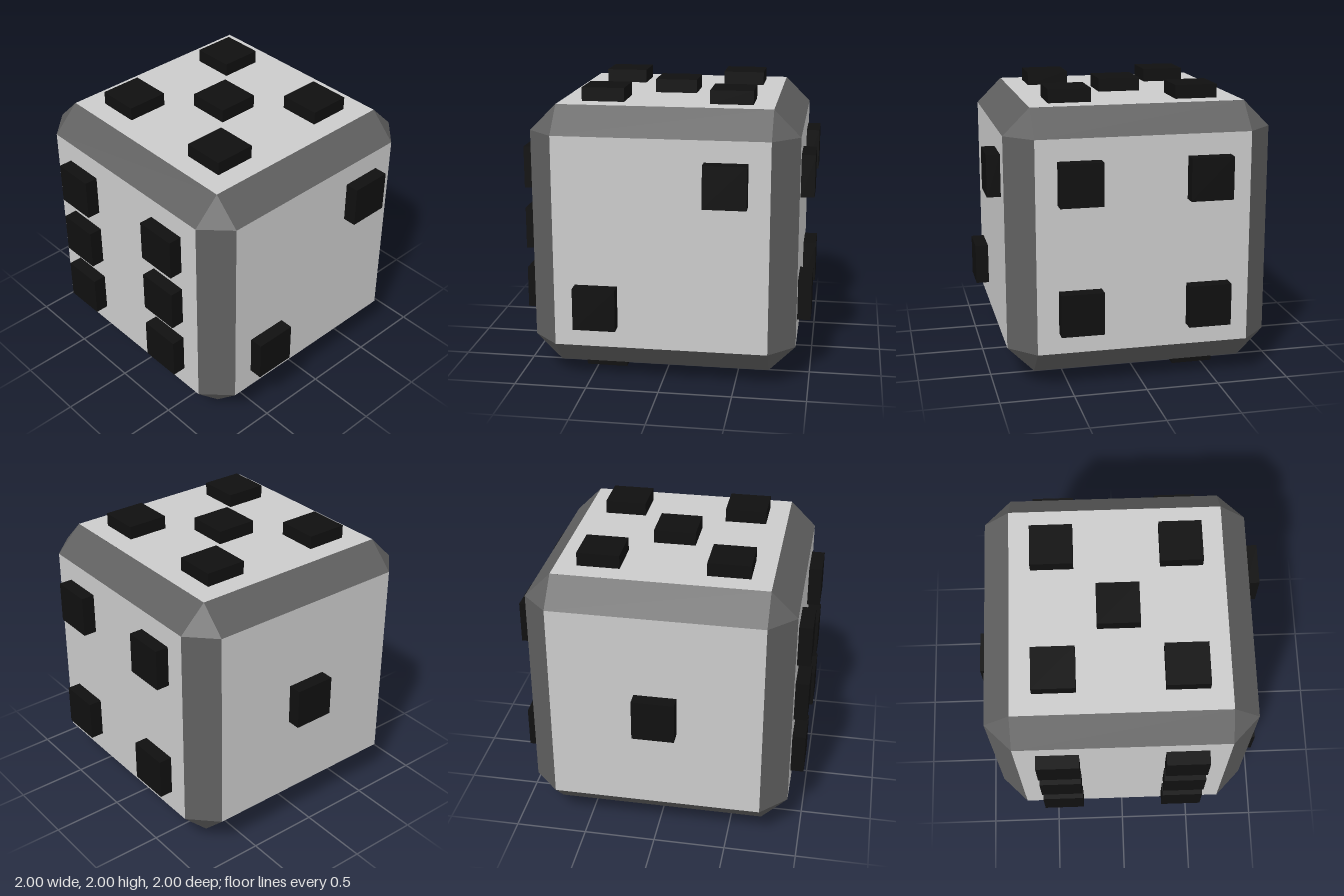
import * as THREE from 'three';

const OUTER = 0.907;  // centre to flat face
const INNER = 0.727;  // half width of a flat face
const PIP = 0.29;     // pip width
const STEP = 0.436;   // pip spacing
const DEPTH = 1 - OUTER;

const material = (color) => new THREE.MeshStandardMaterial({ color, flatShading: true });

export function createModel() {
  const model = new THREE.Group();
  model.name = 'die';
  const faceMat = material(0xcccccc);
  const bevelMat = material(0x606060);
  const pipMat = material(0x101010);

  const body = new THREE.Group();
  body.name = 'body';
  const pips = new THREE.Group();
  pips.name = 'pips';

  const add = (parent, name, geometry, mat) => {
    const mesh = new THREE.Mesh(geometry, mat);
    mesh.name = name;
    parent.add(mesh);
    return mesh;
  };

  // Flat panel centred at (x, y, z) and facing away from the centre
  const addPanel = (name, width, height, mat, x, y, z) => {
    const mesh = new THREE.Mesh(new THREE.PlaneGeometry(width, height), mat);
    mesh.name = name;
    mesh.position.set(x, y, z);
    mesh.lookAt(2 * x, 2 * y, 2 * z);
    body.add(mesh);
  };

  // Six faces: axis, side, and pip places along the next two axes (x>y>z>x)
  const faces = [
    ['front', 2, 1, [[-1, -1], [-1, 0], [-1, 1], [1, -1], [1, 0], [1, 1]]],
    ['back', 2, -1, [[-1, -1], [-1, 1], [1, -1], [1, 1]]],
    ['left', 0, 1, [[1, -1], [-1, 1]]],
    ['right', 0, -1, [[0, 0]]],
    ['top', 1, 1, [[-1, -1], [-1, 1], [0, 0], [1, -1], [1, 1]]],
    ['bottom', 1, -1, [[-1, -1], [0, 0], [1, 1]]],
  ];
  for (const [name, axis, side, places] of faces) {
    const centre = [0, 0, 0];
    centre[axis] = side * OUTER;
    addPanel(name + 'Face', 2 * INNER, 2 * INNER, faceMat, ...centre);

    const size = [PIP, PIP, PIP];
    size[axis] = DEPTH;
    for (const [u, v] of places) {
      const p = [0, 0, 0];
      p[axis] = side * (OUTER + DEPTH / 2);
      p[(axis + 1) % 3] = u * STEP;
      p[(axis + 2) % 3] = v * STEP;
      add(pips, name + 'Pip', new THREE.BoxGeometry(...size), pipMat).position.set(...p);
    }
  }

  // Twelve bevelled edges
  const mid = (OUTER + INNER) / 2;
  const long = 2 * INNER;
  const wide = (OUTER - INNER) * Math.SQRT2;
  for (const a of [-mid, mid]) {
    for (const b of [-mid, mid]) {
      addPanel('bevel', long, wide, bevelMat, 0, a, b);
      addPanel('bevel', long, wide, bevelMat, a, b, 0);
      addPanel('bevel', wide, long, bevelMat, a, 0, b);
    }
  }

  // Eight corner triangles, wound to face outward
  for (const x of [-1, 1]) for (const y of [-1, 1]) for (const z of [-1, 1]) {
    const corners = [[OUTER, INNER, INNER], [INNER, OUTER, INNER], [INNER, INNER, OUTER]];
    if (x * y * z < 0) corners.reverse();
    const points = corners.map(([a, b, c]) => new THREE.Vector3(a * x, b * y, c * z));
    const triangle = new THREE.BufferGeometry().setFromPoints(points);
    triangle.computeVertexNormals();
    add(body, 'corner', triangle, bevelMat);
  }

  body.position.y = 1;
  pips.position.y = 1;
  model.add(body, pips);
  return model;
}
